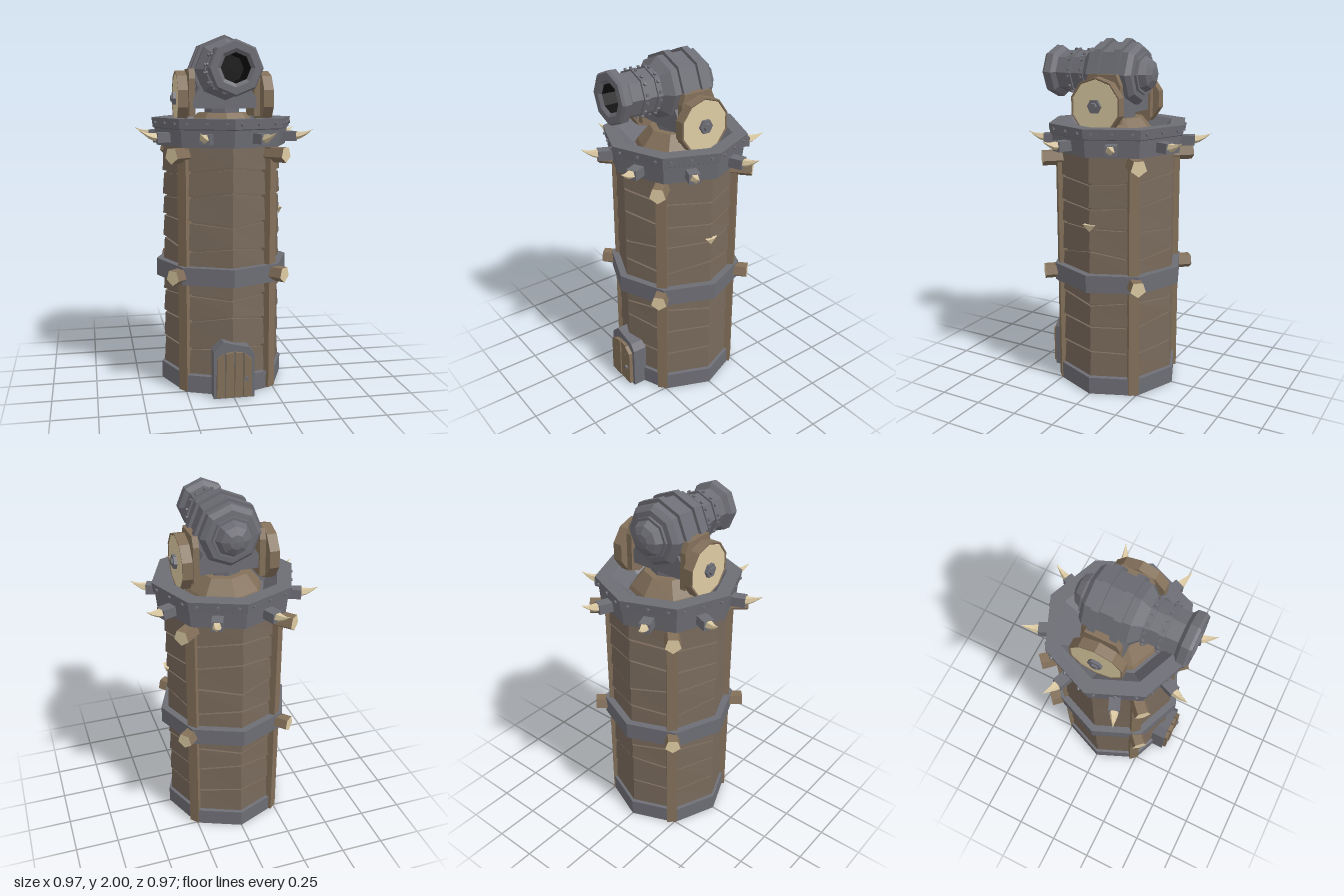
import * as THREE from 'three';

const mat = (name, color) => {
  const m = new THREE.MeshStandardMaterial({ color });
  m.name = name;
  return m;
};

export function createModel() {
  const plank = mat('plank wood', 0x77685a);
  const timber = mat('timber wood', 0x83705a);
  const iron = mat('iron', 0x6d6d75);
  const horn = mat('horn and cut wood', 0xddcba3);
  const black = mat('bore black', 0x0d0d0d);

  const model = new THREE.Group();
  model.name = 'cannonTower';

  // Faceted mesh: split vertices so every face has its own normal
  const add = (name, geo, material, parent = model, x = 0, y = 0, z = 0) => {
    const g = geo.index ? geo.toNonIndexed() : geo;
    g.computeVertexNormals();
    const mesh = new THREE.Mesh(g, material);
    mesh.name = name;
    mesh.position.set(x, y, z);
    parent.add(mesh);
    return mesh;
  };
  const group = (name, parent = model) => {
    const g = new THREE.Group();
    g.name = name;
    parent.add(g);
    return g;
  };
  // Group whose +z points outward at the given angle around the tower
  const spoke = (name, angle) => {
    const g = group(name);
    g.rotation.y = angle;
    return g;
  };
  const lathe = (pts, sides = 8) =>
    new THREE.LatheGeometry(pts.map(([r, y]) => new THREE.Vector2(r, y)), sides);
  const box = (w, h, d) => new THREE.BoxGeometry(w, h, d);
  const cyl = (r1, r2, h, n) => new THREE.CylinderGeometry(r1, r2, h, n);
  const extrude = (pts, depth) => new THREE.ExtrudeGeometry(
    new THREE.Shape(pts.map(([x, y]) => new THREE.Vector2(x, y))),
    { depth, bevelEnabled: false });

  // Tower core and iron bands
  add('towerCore', lathe([[0, 0.02], [0.322, 0.02], [0.322, 1.42]]), plank);
  add('baseBand', lathe([[0, 0], [0.36, 0], [0.36, 0.1], [0.32, 0.105]]), iron);
  add('middleBand', lathe([[0.31, 0.63], [0.385, 0.63], [0.385, 0.73], [0.31, 0.73]]), iron);
  add('topRim', lathe([[0.3, 1.39], [0.378, 1.39], [0.388, 1.485], [0.398, 1.49], [0.405, 1.545],
    [0.32, 1.545], [0.24, 1.46], [0, 1.46]]), iron);

  // Clapboard rows: heights at front/back, diagonal and side corners
  const front = [0.1, 0.27, 0.45, 0.545, 0.69, 0.84, 0.955, 1.145, 1.28, 1.41];
  const diagonal = [0.1, 0.25, 0.41, 0.565, 0.69, 0.81, 0.98, 1.11, 1.25, 1.41];
  const side = [0.1, 0.26, 0.41, 0.54, 0.69, 0.86, 0.99, 1.1, 1.235, 1.41];
  const corners = [front, diagonal, side, diagonal];
  const boards = group('boards');
  for (let row = 0; row < 9; row++) {
    const pos = [], idx = [];
    for (let i = 0; i <= 8; i++) {
      const a = i * Math.PI / 4, h = corners[i % 4];
      const lo = h[row] + 0.008, hi = h[row + 1] - 0.008;
      for (const [r, y] of [[0.345, lo], [0.337, hi], [0.31, hi], [0.31, lo]])
        pos.push(r * Math.sin(a), y, r * Math.cos(a));
      if (i === 8) continue;
      for (let j = 0; j < 4; j++) {
        const p = i * 4 + j, q = i * 4 + (j + 1) % 4;
        idx.push(p, p + 4, q, p + 4, q + 4, q);
      }
    }
    const g = new THREE.BufferGeometry();
    g.setAttribute('position', new THREE.Float32BufferAttribute(pos, 3));
    g.setIndex(idx);
    add('boardRow', g, plank, boards);
  }

  // Corner posts with pentagonal beam ends
  for (let i = 0; i < 4; i++) {
    const s = spoke('cornerPost', Math.PI / 4 - 0.05 + i * Math.PI / 2);
    add('post', box(0.06, 1.39, 0.06), timber, s, 0, 0.7, 0.33);
    for (const y of [0.68, 1.35]) {
      const beam = cyl(0.046, 0.046, 0.15, 5).rotateX(Math.PI / 2);
      add('beamEnd', beam, [timber, horn, horn], s, 0, y, 0.367);
    }
  }

  // Horn spikes and rivets around the rim
  for (let i = 0; i < 8; i++) {
    const s = spoke('rimSpike', Math.PI / 8 + i * Math.PI / 4);
    add('socket', box(0.06, 0.055, 0.085), iron, s, 0, 1.44, 0.39);
    const g = new THREE.ConeGeometry(0.027, 0.1, 5, 3).rotateX(Math.PI / 2);
    const p = g.attributes.position;
    for (let k = 0; k < p.count; k++) {
      const t = p.getZ(k) / 0.1 + 0.5;
      const swell = 1 + 0.5 * t * (1 - t);
      p.setXYZ(k, p.getX(k) * swell, p.getY(k) * swell + 0.036 * t * t, p.getZ(k));
    }
    add('horn', g, horn, s, 0, 1.444, 0.475);
    for (const x of [-0.11, 0, 0.11])
      add('rivet', cyl(0.008, 0.01, 0.014, 6).rotateX(Math.PI / 2), iron, s, x, 1.517, 0.374);
  }

  // Door
  const door = group('door');
  add('doorFrame', extrude([[-0.115, 0], [0.115, 0], [0.115, 0.25], [0.085, 0.29], [0.01, 0.307],
    [-0.06, 0.325], [-0.115, 0.27]], 0.085), iron, door, 0, 0, 0.3);
  [[-0.1, -0.055, 0.235, 0.262], [-0.051, -0.003, 0.264, 0.27], [0.001, 0.047, 0.27, 0.264],
    [0.051, 0.098, 0.262, 0.228]].forEach(([x0, x1, y0, y1], i) => {
    add('doorPlank', extrude([[x0, 0.012], [x1, 0.012], [x1 - 0.003, y1], [x0 + 0.002, y0]],
      0.022 + (i % 2) * 0.004), timber, door, 0, 0, 0.382);
  });
  add('doorKnob', cyl(0.012, 0.012, 0.02, 6).rotateX(Math.PI / 2), iron, door, 0.065, 0.12, 0.41);

  // Splinter on the left wall
  const chip = new THREE.ConeGeometry(0.043, 0.042, 5).rotateX(Math.PI).scale(0.4, 1, 1);
  add('wallSplinter', chip, horn, model, 0.343, 0.992, 0);

  // Turntable
  add('turntable', lathe([[0.225, 1.455], [0.21, 1.485], [0.14, 1.57], [0, 1.57]]), timber);
  add('pivot', cyl(0.1, 0.1, 0.05, 8), iron, model, 0, 1.585, 0);

  // Carriage, axle and wheels
  const carriage = group('carriage');
  add('cradle', extrude([[-0.18, 1.595], [0.18, 1.595], [0.18, 1.65], [0.14, 1.72], [-0.14, 1.72],
    [-0.18, 1.65]], 0.2), iron, carriage, 0, 0, -0.1);
  add('axle', cyl(0.04, 0.04, 0.57, 6).rotateZ(Math.PI / 2), iron, carriage, 0, 1.65, 0);
  for (const s of [-1, 1]) {
    const cheek = extrude([[-0.1, 1.55], [0.115, 1.55], [0.115, 1.76], [0.09, 1.815],
      [-0.08, 1.815], [-0.1, 1.76]], 0.034).rotateY(Math.PI / 2);
    add('cheek', cheek, timber, carriage, s * 0.185 - 0.017, 0, 0);
    const wheel = group('wheel', carriage);
    wheel.position.set(s * 0.242, 1.65, 0);
    wheel.rotation.z = -s * Math.PI / 2;
    // Local +y is the outward side of the wheel
    add('wheelRim', lathe([[0, -0.028], [0.155, -0.028], [0.155, 0.028], [0.148, 0.028],
      [0.142, 0.022], [0, 0.022]], 10).rotateY(Math.PI / 10), timber, wheel);
    add('wheelFace', cyl(0.143, 0.143, 0.006, 10).rotateY(Math.PI / 10), horn, wheel, 0, 0.0225, 0);
    add('hubBolt', cyl(0.02, 0.024, 0.012, 6), iron, wheel, 0, 0.047, 0);
  }

  // Cannon, profile runs from breech to muzzle
  const cannon = group('cannon');
  cannon.position.y = 1.81;
  const along = (name, pts, material) =>
    add(name, lathe(pts).rotateX(Math.PI / 2), material, cannon);
  along('barrel', [[0, -0.23], [0.04, -0.226], [0.08, -0.205], [0.1, -0.168], [0.115, -0.168],
    [0.115, -0.153], [0.145, -0.15], [0.17, -0.125], [0.17, 0.115], [0.122, 0.165], [0.118, 0.345],
    [0.145, 0.365], [0.148, 0.405], [0.138, 0.42], [0.1, 0.42], [0.08, 0.405]], iron);
  along('bore', [[0.08, 0.405], [0.075, 0.25], [0, 0.25]], black);
  for (const [z0, z1, r] of [[-0.085, -0.045, 0.19], [0.035, 0.075, 0.19],
    [0.165, 0.195, 0.131], [0.245, 0.278, 0.131]]) {
    along('barrelBand', [[0.1, z0], [r, z0], [r, z1], [0.1, z1]], iron);
    if (r > 0.15) continue;
    // Paired bolts beside each corner of the narrow bands
    for (let i = 0; i < 8; i++) for (const d of [-0.17, 0.17]) {
      const a = Math.PI / 4 * i + d;
      const bolt = add('bandBolt', cyl(0.009, 0.009, 0.016, 6), iron, cannon,
        0.127 * Math.sin(a), 0.127 * Math.cos(a), (z0 + z1) / 2);
      bolt.rotation.z = -a;
    }
  }
  return model;
}
